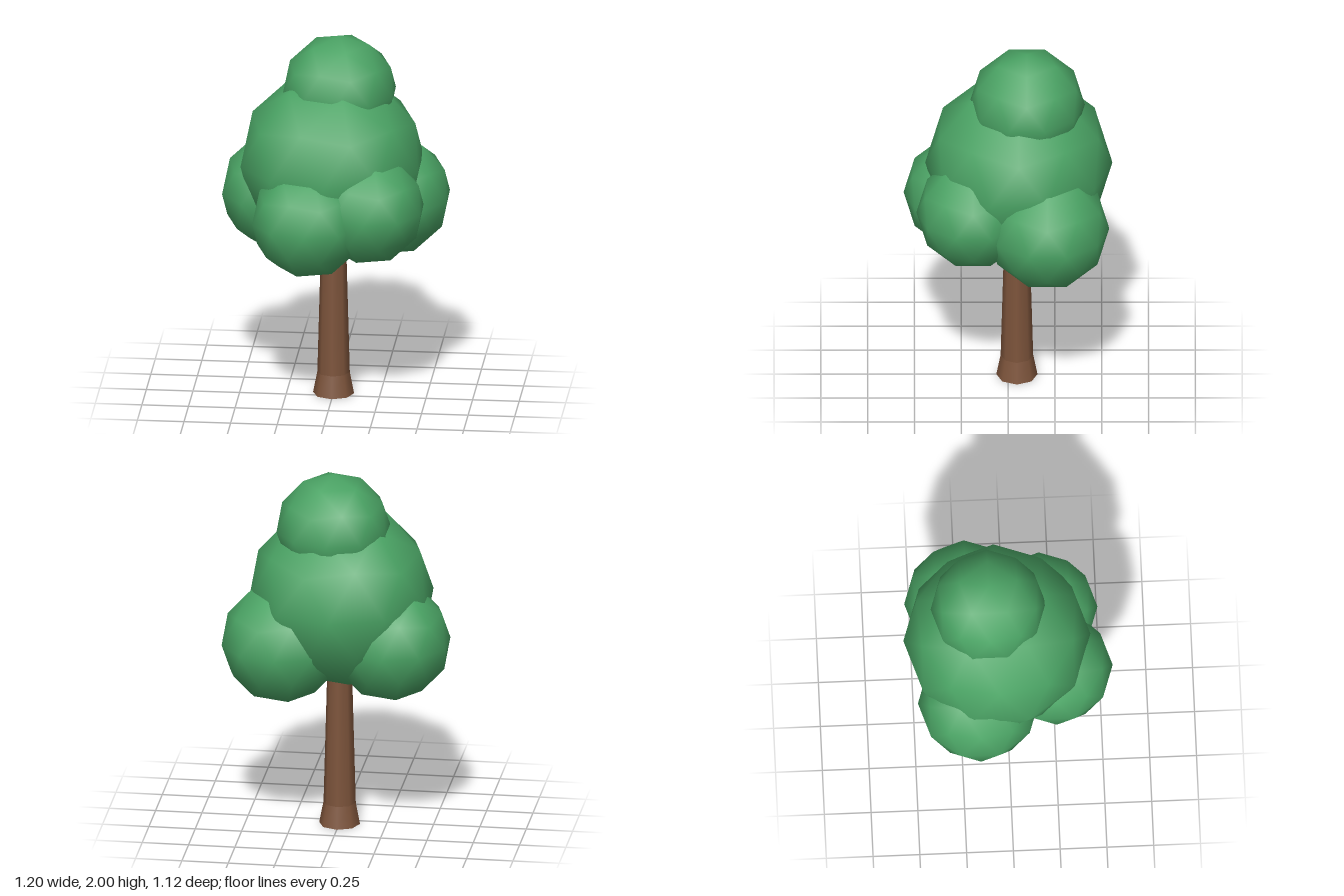
import * as THREE from 'three';

export function createModel() {
  const group = new THREE.Group();
  const leafGreen = new THREE.MeshStandardMaterial({ color: 0x4aa364 });
  leafGreen.name = 'leafGreen';
  const barkBrown = new THREE.MeshStandardMaterial({ color: 0x7d543b });
  barkBrown.name = 'barkBrown';

  const add = (name, geometry, material, x, y, z) => {
    const mesh = new THREE.Mesh(geometry, material);
    mesh.name = name;
    mesh.position.set(x, y, z);
    group.add(mesh);
    return mesh;
  };

  // Trunk: flared foot and a tapering shaft that ends inside the crown
  add('trunkFoot', new THREE.CylinderGeometry(0.087, 0.11, 0.12, 8), barkBrown, 0, 0.06, -0.047);
  add('trunkShaft', new THREE.CylinderGeometry(0.062, 0.087, 0.93, 8, 1, true), barkBrown, 0, 0.585, -0.047);

  // Foliage: coarse smooth-shaded icospheres, turned so one corner points up
  const blob = (name, radius, x, y, z) => {
    const geometry = new THREE.IcosahedronGeometry(radius, 1);
    geometry.rotateZ(-Math.atan(2 / (1 + Math.sqrt(5))));
    add(name, geometry, leafGreen, x, y, z);
  };
  blob('crownMiddle', 0.5, -0.01, 1.31, -0.057);
  blob('crownTop', 0.31, 0.025, 1.69, -0.1);
  blob('foliageFrontRight', 0.31, -0.105, 1.07, 0.248);
  blob('foliageFrontLeft', 0.303, 0.208, 1.13, 0.187);
  blob('foliageBackLeft', 0.33, 0.285, 1.075, -0.21);
  blob('foliageBackRight', 0.326, -0.29, 1.095, -0.165);

  return group;
}
